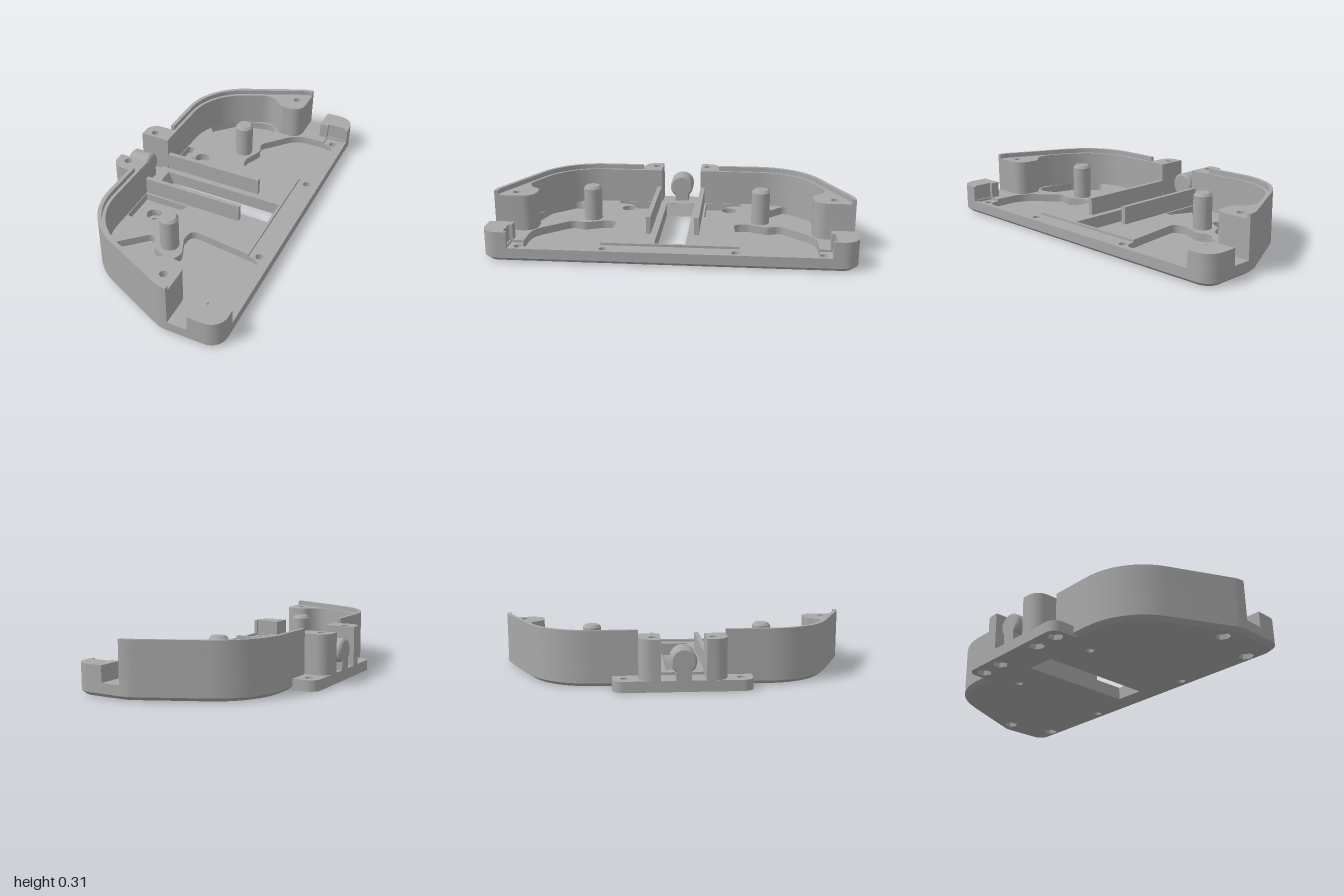
import * as THREE from 'three';
import { toCreasedNormals } from 'three/addons/utils/BufferGeometryUtils.js';

const V = (x, y) => new THREE.Vector2(x, y);

// Polygon from [x, z, cornerRadius] entries, each corner filleted with an arc
function rounded(list) {
  const out = [], n = list.length;
  list.forEach(([x, y, r = 0], i) => {
    const c = V(x, y);
    if (!r) { out.push(c); return; }
    const p = list[(i + n - 1) % n], q = list[(i + 1) % n];
    const u = V(p[0], p[1]).sub(c).normalize(), v = V(q[0], q[1]).sub(c).normalize();
    const half = Math.acos(u.dot(v)) / 2, t = r / Math.tan(half);
    const o = u.clone().add(v).normalize().multiplyScalar(r / Math.sin(half)).add(c);
    const a = u.multiplyScalar(t).add(c).sub(o).angle();
    let d = v.multiplyScalar(t).add(c).sub(o).angle() - a;
    if (d > Math.PI) d -= 2 * Math.PI;
    if (d < -Math.PI) d += 2 * Math.PI;
    const steps = r > 0.2 ? 16 : 8;
    for (let k = 0; k <= steps; k++) {
      const b = a + d * k / steps;
      out.push(V(o.x + r * Math.cos(b), o.y + r * Math.sin(b)));
    }
  });
  return out;
}

const flip = (list) => list.map(([x, z, r]) => [x, -z, r]);
const mirrored = (half) => [...half, ...flip(half).reverse()];
const both = (list) => [rounded(list), rounded(flip(list))];

// Regular polygon hole, used for round bores and hexagonal recesses
function ring(x, z, r, sides = 20) {
  return Array.from({ length: sides }, (_, i) => {
    const a = i / sides * Math.PI * 2;
    return V(x + r * Math.cos(a), z + r * Math.sin(a));
  });
}
const rings = (spots, r, sides) => spots.flatMap(([x, z]) => [ring(x, z, r, sides), ring(x, -z, r, sides)]);

// Outline moved inward by d
function inset(pts, d) {
  const s = THREE.ShapeUtils.isClockWise(pts) ? -1 : 1, n = pts.length;
  return pts.map((c, i) => {
    const e = c.clone().sub(pts[(i + n - 1) % n]).normalize();
    const f = pts[(i + 1) % n].clone().sub(c).normalize();
    const a = V(-e.y * s, e.x * s), b = V(-f.y * s, f.x * s);
    const m = a.clone().add(b).normalize();
    return m.multiplyScalar(d / m.dot(a)).add(c);
  });
}

export function createModel() {
  const model = new THREE.Group();
  model.name = 'housingHalf';
  const grey = new THREE.MeshStandardMaterial({ color: 0xa8a8a8 });
  grey.name = 'machined grey';

  const add = (name, geometry, x = 0, y = 0, z = 0) => {
    const mesh = new THREE.Mesh(toCreasedNormals(geometry, 0.5), grey);
    mesh.name = name;
    mesh.position.set(x, y, z);
    model.add(mesh);
    return mesh;
  };

  // Plan outline raised from y0 to y1, optionally chamfered around its bottom
  const slab = (name, pts, y0, y1, holes = [], chamfer = 0) => {
    const shape = new THREE.Shape(pts);
    shape.holes = holes.map((h) => new THREE.Path(h));
    const g = new THREE.ExtrudeGeometry(shape, { depth: y1 - y0, bevelEnabled: false });
    if (chamfer) {
      const inner = inset(pts, chamfer), pos = g.attributes.position;
      for (let i = 0; i < pos.count; i++) {
        if (pos.getZ(i) > 1e-5) continue;
        const k = pts.findIndex((p) => Math.hypot(p.x - pos.getX(i), p.y - pos.getY(i)) < 1e-5);
        if (k >= 0) pos.setXY(i, inner[k].x, inner[k].y);
      }
    }
    g.rotateX(-Math.PI / 2);
    return add(name, g, 0, y0, 0);
  };

  // Plan shapes
  const outline = rounded(mirrored([[0.53, 1, 0.09], [0.2, 1, 0.17], [-0.4, 0.724, 0.386]]));
  const slot = rounded(mirrored([[0.385, 0.085], [-0.34, 0.085]]));
  const largePocketInner = [[0.22, 0.8, 0.16], [0.045, 0.6, 0.05], [0.075, 0.53, 0.05],
    [0.03, 0.42, 0.05], [0.035, 0.335, 0.04]];
  const largePocket = [[0.47, 0.8, 0.05], ...largePocketInner, [0.47, 0.385, 0.05]];
  const groovedPockets = mirrored([[0.51, 0.87], [0.4, 0.87], [0.4, 0.8], ...largePocketInner, [0.4, 0.377]]);
  const smallPocket = [[-0.335, 0.64, 0.04], [-0.2, 0.785, 0.1], [-0.02, 0.835, 0.15], [0.095, 0.83, 0.06],
    [0, 0.59, 0.06], [-0.08, 0.555, 0.03], [-0.135, 0.45, 0.03]];
  const cornerPocket = [[-0.355, 0.16], [-0.355, 0.38, 0.015], [-0.315, 0.38, 0.015],
    [-0.295, 0.295, 0.03], [-0.095, 0.195, 0.015], [-0.085, 0.16]];

  // Screw positions
  const boss = [0.17, 0.89], end = [0.455, 0.82], mid = [0.455, 0.355], sunk = [-0.22, 0.305];
  const tabHoles = [[-0.465, 0.31], [-0.465, 0.16]];
  const bore = 0.022, hex = 0.042;

  // Base plate in layers: nut recesses below, pockets and groove above
  const lowHoles = [slot, ...rings([boss, end], hex, 6), ...rings([mid, sunk], bore)];
  slab('baseChamfer', outline, 0, 0.02, lowHoles, 0.025);
  slab('baseBottom', outline, 0.02, 0.03, lowHoles);
  const pockets = [slot, ...both(smallPocket), ...both(cornerPocket), ...rings([boss], bore), ...rings([sunk], 0.045)];
  slab('basePockets', outline, 0.03, 0.062,
    [...pockets, ...both(largePocket), ...rings([end, mid], bore)]);
  slab('baseTop', outline, 0.062, 0.075, [...pockets, rounded(groovedPockets)]);

  // Sloped end of the central slot
  const ramp = new THREE.ExtrudeGeometry(new THREE.Shape([V(-0.345, 0), V(-0.31, 0), V(-0.34, 0.074), V(-0.345, 0.074)]),
    { depth: 0.17, bevelEnabled: false });
  add('slotRamp', ramp, 0, 0, -0.085);

  // Mounting tab with nut recesses underneath
  const tab = rounded(mirrored([[-0.375, 0.375], [-0.535, 0.375, 0.06]]));
  slab('tabBottom', tab, 0, 0.03, rings(tabHoles, hex, 6));
  slab('tabTop', tab, 0.03, 0.06, rings(tabHoles, bore));

  const wall = [[0.24, 1], [0.2, 1, 0.17], [-0.4, 0.724, 0.386], [-0.4, 0.12], [-0.36, 0.12],
    [-0.36, 0.698, 0.346], [0.02, 0.873, 0.1], [0.1, 0.775, 0.05], [0.24, 0.775, 0.07]];
  const lip = [[0.24, 1], [0.2, 1, 0.17], [-0.4, 0.724, 0.386], [-0.4, 0.235], [-0.378, 0.235],
    [-0.378, 0.71, 0.364], [0.205, 0.978, 0.15], [0.24, 0.978]];
  const gateBlock = [[-0.365, 0.12], [-0.365, 0.235], [-0.535, 0.235, 0.07], [-0.535, 0.12]];
  const cornerBlock = [[0.35, 0.86], [0.4, 0.86], [0.4, 0.88], [0.51, 0.88], [0.51, 0.86],
    [0.53, 0.86], [0.53, 1, 0.09], [0.35, 1]];
  const rail = [[-0.37, 0.122], [0.235, 0.122], [0.235, 0.148], [-0.37, 0.148]];

  // Parts repeated on both halves
  for (const [side, s] of [['left', 1], ['right', -1]]) {
    const plan = (list) => rounded(s > 0 ? flip(list) : list);
    slab(side + 'Wall', plan(wall), 0.075, 0.28, [ring(boss[0], -s * boss[1], bore)]);
    slab(side + 'WallLip', plan(lip), 0.28, 0.307);
    slab(side + 'GateBlock', plan(gateBlock), 0.06, 0.28, [ring(-0.465, -s * 0.16, bore)]);
    slab(side + 'CornerBlock', plan(cornerBlock), 0.075, 0.165);
    slab(side + 'ChannelRail', plan(rail), 0.03, 0.175);

    // Chamfered pivot post
    const post = [V(0.052, 0), V(0.052, 0.23), V(0.04, 0.245), V(0, 0.245)];
    add(side + 'Post', new THREE.LatheGeometry(post, 32), -0.02, 0.03, s * 0.49);
  }

  // Horizontal plug between the gate blocks, on its support
  const plug = [V(0, 0), V(0.06, 0), V(0.07, 0.01), V(0.07, 0.12), V(0.06, 0.13), V(0, 0.13)];
  add('plug', new THREE.LatheGeometry(plug, 32).rotateZ(-Math.PI / 2), -0.535, 0.162, 0);
  add('plugSupport', new THREE.BoxGeometry(0.13, 0.06, 0.08), -0.47, 0.085, 0);

  return model;
}
